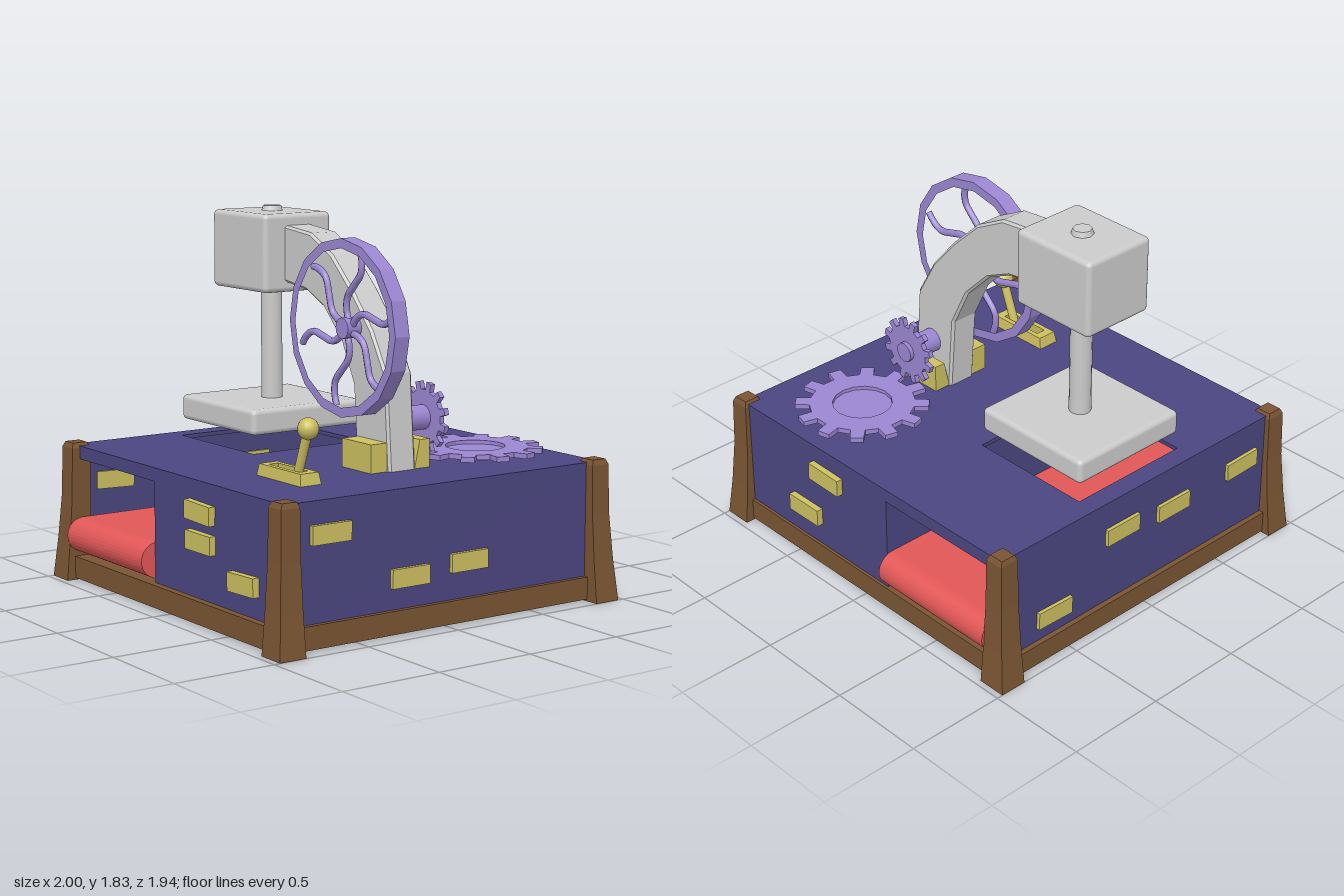
import * as THREE from 'three';
import { RoundedBoxGeometry } from 'three/addons/geometries/RoundedBoxGeometry.js';

const mat = (color, flat = false) => new THREE.MeshStandardMaterial({ color, flatShading: flat });
const grey = mat(0xcccccc), plum = mat(0x4b4680), wood = mat(0x7a5533, true);
const brass = mat(0xcdc060), red = mat(0xe25757), violet = mat(0x9b86d2);
const V = (x, y) => new THREE.Vector2(x, y);

export function createModel() {
  const model = new THREE.Group();

  const add = (name, geo, material, x = 0, y = 0, z = 0, parent = model) => {
    const m = new THREE.Mesh(geo, material);
    m.name = name;
    m.position.set(x, y, z);
    parent.add(m);
    return m;
  };
  // box given by its limits on each axis
  const block = (name, material, x0, x1, y0, y1, z0, z1) =>
    add(name, new THREE.BoxGeometry(x1 - x0, y1 - y0, z1 - z0), material,
      (x0 + x1) / 2, (y0 + y1) / 2, (z0 + z1) / 2);
  const rect = (x0, x1, y0, y1) => [V(x0, y0), V(x1, y0), V(x1, y1), V(x0, y1)];
  const extrude = (shape, depth, extra = {}) =>
    new THREE.ExtrudeGeometry(shape, { depth, bevelEnabled: false, curveSegments: 8, ...extra });

  // Open-bottomed cabinet: top with a square hole, walls, tunnel for the belt
  const top = new THREE.Shape(rect(-0.93, 0.91, -0.89, 0.91));
  top.holes.push(new THREE.Path(rect(-0.83, -0.18, -0.32, 0.33)));
  add('cabinetTop', extrude(top, 0.02).rotateX(-Math.PI / 2), plum, 0, 0.645, 0);
  const wall = new THREE.Shape([V(-0.93, 0.6), V(-0.155, 0.6), V(-0.155, 0.1),
    V(0.91, 0.1), V(0.91, 0.646), V(-0.93, 0.646)]);
  add('frontWall', extrude(wall, 0.02), plum, 0, 0, 0.87);
  add('backWall', extrude(wall, 0.02), plum, 0, 0, -0.91);
  block('rightWall', plum, -0.93, -0.91, 0.1, 0.646, -0.9, 0.88);
  block('leftWall', plum, 0.89, 0.91, 0.1, 0.646, -0.9, 0.88);
  block('tunnelWall', plum, -0.155, -0.14, 0.3, 0.646, -0.9, 0.88);
  block('tunnelSill', plum, -0.155, -0.14, 0.12, 0.2, -0.9, 0.88);

  // Conveyor belt with rounded ends
  const belt = new THREE.Shape();
  belt.absarc(0.88, 0.225, 0.085, -Math.PI / 2, Math.PI / 2);
  belt.absarc(-0.88, 0.225, 0.085, Math.PI / 2, Math.PI * 1.5);
  add('conveyorBelt', extrude(belt, 0.705).rotateY(Math.PI / 2), red, -0.86, 0, 0);

  // Wooden base rails
  for (const s of [-1, 1]) {
    const z = s * 0.888, x = s * 0.9 - 0.012;
    block('baseRail', wood, -0.9, 0.9, 0.01, 0.118, z - 0.037, z + 0.037);
    block('sideRail', wood, x - 0.045, x + 0.045, 0.01, 0.118, -0.88, 0.88);
  }

  // Corner posts flaring outwards at the foot
  // rows: height, outer x, outer z, inset of the inner faces
  const rows = [[0, 1, 0.97, 0], [0.2, 0.977, 0.952, 0], [0.42, 0.96, 0.937, 0],
    [0.655, 0.955, 0.932, 0], [0.68, 0.945, 0.92, 0.012]];
  for (const sx of [-1, 1]) for (const sz of [-1, 1]) {
    const g = new THREE.BoxGeometry(1, 1, 1, 1, 4, 1), p = g.attributes.position;
    for (let i = 0; i < p.count; i++) {
      const [y, ox, oz, inset] = rows[Math.round((p.getY(i) + 0.5) * 4)];
      p.setXYZ(i, sx * (p.getX(i) * sx > 0 ? ox : 0.857 + inset), y,
        sz * (p.getZ(i) * sz > 0 ? oz : 0.833 + inset));
    }
    g.computeVertexNormals();
    add('cornerPost', g, wood);
  }

  // Brass plates riveted to the walls: [offset along wall, height, tilt]
  const plates = (name, list, place) => list.forEach(([u, y, tilt]) => {
    const m = add(name, new THREE.BoxGeometry(0.21, 0.088, 0.05), brass);
    place(m, u, y);
    m.rotateZ(tilt);
  });
  plates('frontPlate', [[0.26, 0.525, -0.03], [0.265, 0.388, 0], [0.615, 0.262, 0.035]],
    (m, u, y) => m.position.set(u, y, 0.898));
  plates('backPlate', [[0.265, 0.53, 0.02], [0.425, 0.28, 0]],
    (m, u, y) => m.position.set(u, y, -0.917));
  const side = (x) => (m, u, y) => { m.position.set(x, y, u); m.rotation.y = Math.PI / 2; };
  plates('leftPlate', [[0.645, 0.515, 0], [0.21, 0.262, 0], [-0.125, 0.29, 0]], side(0.905));
  plates('rightPlate', [[-0.585, 0.23, 0.03], [-0.15, 0.48, 0], [0.19, 0.45, 0], [0.665, 0.47, -0.03]],
    side(-0.923));

  // Press: head, cap, ram and pressing plate
  add('pressHead', new RoundedBoxGeometry(0.465, 0.38, 0.39, 2, 0.025), grey, -0.503, 1.61, -0.005);
  add('headCap', new THREE.CylinderGeometry(0.045, 0.058, 0.04, 8), grey, -0.503, 1.805, -0.01);
  add('ram', new THREE.CylinderGeometry(0.053, 0.053, 0.6, 16), grey, -0.503, 1.14, -0.005);
  add('pressPlate', new RoundedBoxGeometry(0.65, 0.125, 0.65, 2, 0.025), grey, -0.507, 0.812, -0.005);

  // Curved arm
  const outer = [[-0.3, 1.735], [-0.06, 1.71], [0.11, 1.62], [0.27, 1.47], [0.42, 1.3], [0.53, 1.11], [0.565, 0.65]];
  const inner = [[0.33, 0.65], [0.3, 1.04], [0.2, 1.24], [0.05, 1.39], [-0.1, 1.46], [-0.3, 1.485]];
  const arm = new THREE.Shape([...inner, ...outer].map(([x, y]) => V(x, y)));
  add('arm', extrude(arm, 0.13, { bevelEnabled: true, bevelSize: 0.012, bevelThickness: 0.012, bevelSegments: 1 }),
    grey, 0, 0, -0.07);

  // Brass brackets holding the arm foot
  block('frontBracket', brass, 0.33, 0.555, 0.63, 0.8, 0.07, 0.163);
  const wedge = new THREE.Shape([V(0.07, 0.63), V(0.165, 0.63), V(0.165, 0.8), V(0.107, 0.8)]);
  add('backBracket', extrude(wedge, 0.24).rotateY(Math.PI / 2), brass, 0.33, 0, 0);

  // Hand wheel with six curved spokes
  const wheel = new THREE.Group();
  wheel.name = 'handWheel';
  wheel.position.set(0.308, 1.31, 0.115);
  model.add(wheel);
  const ring = (r) => Array.from({ length: 16 }, (_, i) =>
    V(r * Math.sin(i * Math.PI / 8), r * Math.cos(i * Math.PI / 8)));
  const rim = new THREE.Shape(ring(0.418));
  rim.holes.push(new THREE.Path(ring(0.372)));
  add('wheelRim', extrude(rim, 0.08), violet, 0, 0, -0.04, wheel);
  const spokePts = [0, 0.12, 0.3, 0.5, 0.7, 0.88, 1].map((t) =>
    new THREE.Vector3(0.03 + t * 0.355, 0.04 * Math.sin(t * Math.PI * 2), 0));
  const spokeGeo = new THREE.TubeGeometry(new THREE.CatmullRomCurve3(spokePts), 14, 0.017, 6);
  for (let i = 0; i < 6; i++)
    add('spoke', spokeGeo, violet, 0, 0, 0, wheel).rotation.z = 0.29 + i * Math.PI / 3;
  add('wheelHub', new THREE.CylinderGeometry(0.05, 0.05, 0.1, 12).rotateX(Math.PI / 2), violet, 0, 0, -0.015, wheel);

  // Toothed gear outline, with tooth gaps centred on the axes
  const gear = (name, r, root, thick, hole) => {
    const pts = [], step = Math.PI / 6;
    for (let i = 0; i < 12; i++)
      for (const [f, rad] of [[0.24, root], [0.31, r], [0.69, r], [0.76, root]])
        pts.push(V(rad * Math.cos((i + f) * step), rad * Math.sin((i + f) * step)));
    const s = new THREE.Shape(pts);
    if (hole) s.holes.push(new THREE.Path().absarc(0, 0, hole, 0, Math.PI * 2));
    return add(name, extrude(s, thick), violet);
  };
  const flatGear = gear('flatGear', 0.325, 0.255, 0.025, 0.145);
  flatGear.rotation.x = -Math.PI / 2;
  flatGear.position.set(0.445, 0.685, -0.537);
  add('flatGearHub', new THREE.CylinderGeometry(0.155, 0.165, 0.04, 12), violet, 0.445, 0.672, -0.537);
  gear('uprightGear', 0.168, 0.13, 0.025, 0).position.set(0.443, 0.88, -0.247);
  add('gearAxle', new THREE.CylinderGeometry(0.06, 0.06, 0.15, 14).rotateX(Math.PI / 2), violet, 0.443, 0.878, -0.15);
  add('gearBoss', new THREE.CylinderGeometry(0.05, 0.05, 0.06, 12).rotateX(Math.PI / 2), violet, 0.443, 0.878, -0.238);

  // Lever: sloped slotted base, rod and ball
  const plate = new THREE.Shape(rect(-0.165, 0.165, -0.05, 0.05));
  plate.holes.push(new THREE.Path(rect(-0.12, 0.12, -0.025, 0.025)));
  const baseGeo = extrude(plate, 0.06).rotateX(-Math.PI / 2), bp = baseGeo.attributes.position;
  for (let i = 0; i < bp.count; i++)
    if (bp.getY(i) < 0.01) bp.setXYZ(i, bp.getX(i) * 1.08, 0, bp.getZ(i) * 1.15);
  baseGeo.computeVertexNormals();
  add('leverBase', baseGeo, brass, 0.447, 0.66, 0.545);
  const rodPath = new THREE.LineCurve3(new THREE.Vector3(0.51, 0.67, 0.545), new THREE.Vector3(0.6, 0.91, 0.545));
  add('leverRod', new THREE.TubeGeometry(rodPath, 1, 0.022, 10), brass);
  add('leverBall', new THREE.SphereGeometry(0.05, 16, 12), brass, 0.602, 0.92, 0.545);

  return model;
}
